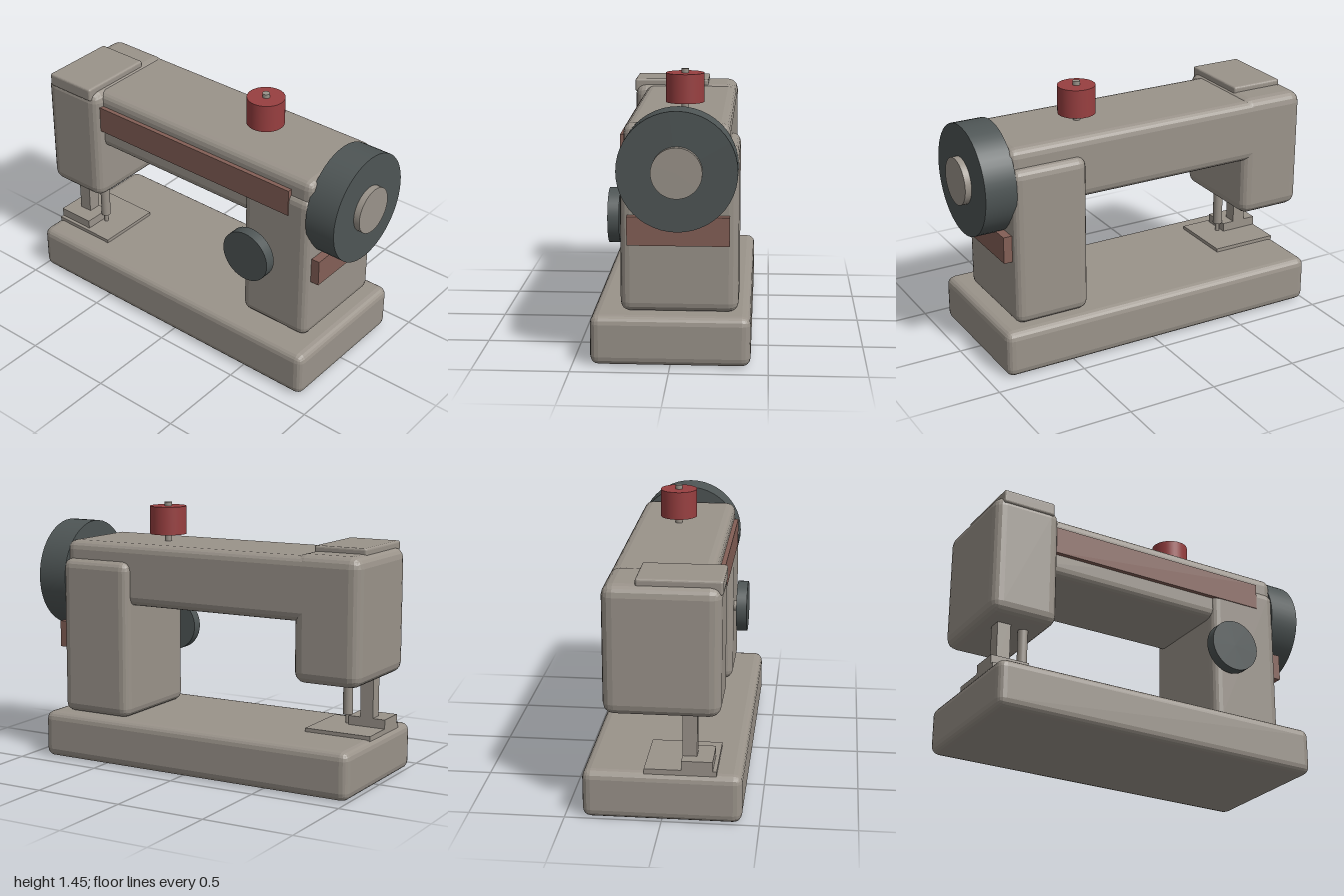
import * as THREE from 'three';
import { RoundedBoxGeometry } from 'three/addons/geometries/RoundedBoxGeometry.js';

export function createModel() {
  const model = new THREE.Group();
  model.name = 'sewingMachine';

  const mat = (name, color) => {
    const m = new THREE.MeshStandardMaterial({ color });
    m.name = name;
    return m;
  };
  const body = mat('warm grey body', 0x9a938a);
  const dark = mat('dark slate', 0x4e5555);
  const red = mat('red thread', 0x983f40);
  const trim = mat('brown trim', 0x835f56);

  const add = (name, geometry, material, x, y, z) => {
    const mesh = new THREE.Mesh(geometry, material);
    mesh.name = name;
    mesh.position.set(x, y, z);
    model.add(mesh);
    return mesh;
  };
  const mid = (r) => (r[0] + r[1]) / 2;
  const len = (r) => r[1] - r[0];

  // Box given by its x, y and z ranges; a radius gives it faceted bevels
  const box = (name, material, x, y, z, radius = 0) => {
    let g;
    if (radius) {
      g = new RoundedBoxGeometry(len(x), len(y), len(z), 2, radius);
      if (g.index) g = g.toNonIndexed();
      g.computeVertexNormals();
    } else {
      g = new THREE.BoxGeometry(len(x), len(y), len(z));
    }
    return add(name, g, material, mid(x), mid(y), mid(z));
  };

  // Cylinder along an axis, given by its range on that axis and its centre
  const rod = (name, material, axis, range, r, centre, sides = 40) => {
    const g = new THREE.CylinderGeometry(r, r, len(range), sides);
    if (axis === 'x') g.rotateZ(-Math.PI / 2);
    if (axis === 'z') g.rotateX(Math.PI / 2);
    const mesh = add(name, g, material, ...centre);
    mesh.position[axis] = mid(range);
    return mesh;
  };

  // Main casing
  box('base', body, [-1, 0.9], [0, 0.26], [-0.41, 0.41], 0.045);
  box('column', body, [0.38, 0.81], [0.26, 1.135], [-0.345, 0.26], 0.05);
  box('arm', body, [-0.75, 0.81], [0.89, 1.235], [-0.3, 0.24], 0.05);
  box('head', body, [-1, -0.62], [0.565, 1.245], [-0.3, 0.3], 0.06);
  box('headCap', body, [-0.96, -0.66], [1.2, 1.275], [-0.13, 0.305], 0.012);

  // Trim bars
  box('frontTrim', trim, [-0.63, 0.68], [1.01, 1.16], [0.21, 0.265]);
  box('sideTrim', trim, [0.79, 0.857], [0.622, 0.77], [-0.3, 0.22]);

  // Hand wheel and stitch dial
  rod('handWheel', dark, 'x', [0.79, 0.965], 0.302, [0, 1.02, -0.04], 48);
  rod('wheelHub', body, 'x', [0.95, 1], 0.128, [0, 1.02, -0.04]);
  rod('stitchDial', dark, 'z', [0.282, 0.342], 0.146, [0.465, 0.695, 0]);
  rod('dialShaft', body, 'z', [0.25, 0.29], 0.03, [0.465, 0.695, 0], 16);

  // Thread spool on its pin
  rod('spoolPin', body, 'y', [1.2, 1.452], 0.02, [0.29, 0, -0.045], 16);
  rod('spool', red, 'y', [1.275, 1.43], 0.102, [0.29, 0, -0.045]);

  // Needle, presser foot and stitch plate
  box('stitchPlate', body, [-0.98, -0.6], [0.25, 0.28], [-0.09, 0.28]);
  box('presserFoot', body, [-0.98, -0.767], [0.28, 0.33], [0.1, 0.26]);
  box('presserBar', body, [-0.91, -0.835], [0.32, 0.6], [0.1, 0.175]);
  rod('needleClamp', body, 'y', [0.33, 0.6], 0.027, [-0.745, 0, 0.135], 20);
  rod('needle', body, 'y', [0.275, 0.34], 0.012, [-0.745, 0, 0.135], 12);

  return model;
}
